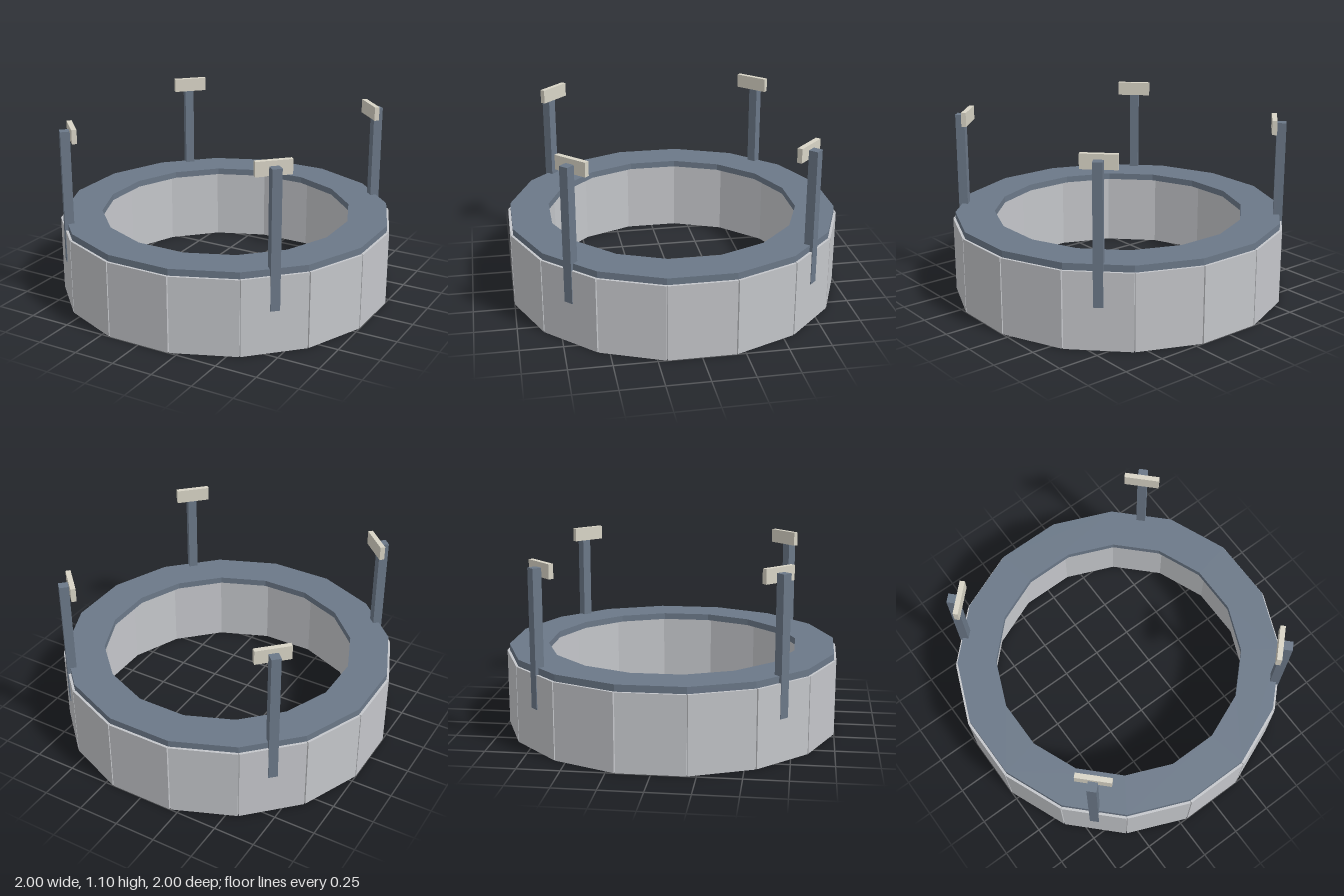
import * as THREE from 'three';

const SIDES = 16;
const STEP = (Math.PI * 2) / SIDES;

const slate = new THREE.MeshStandardMaterial({ name: 'slate metal', color: 0x6b7888 });
const grey = new THREE.MeshStandardMaterial({ name: 'pale grey panel', color: 0xc4c6ca });
const cream = new THREE.MeshStandardMaterial({ name: 'cream lamp', color: 0xd8d4c6 });

// Corner points of a regular polygon, given the distance to its flat sides
function polygon(apothem) {
  const r = apothem / Math.cos(STEP / 2);
  return Array.from({ length: SIDES }, (_, i) => {
    const a = (i + 0.5) * STEP;
    return new THREE.Vector2(r * Math.cos(a), r * Math.sin(a));
  });
}

// Flat-sided ring standing between two heights
function ring(name, outer, inner, y0, y1, material) {
  const shape = new THREE.Shape(polygon(outer));
  shape.holes.push(new THREE.Path(polygon(inner)));
  const geometry = new THREE.ExtrudeGeometry(shape, { depth: y1 - y0, bevelEnabled: false });
  geometry.rotateX(-Math.PI / 2).translate(0, y0, 0);
  const mesh = new THREE.Mesh(geometry, material);
  mesh.name = name;
  return mesh;
}

// Box set at a radius, facing outward at the given angle
function radialBox(name, w, h, d, radius, y, angle, material) {
  const mesh = new THREE.Mesh(new THREE.BoxGeometry(w, h, d), material);
  mesh.name = name;
  mesh.position.set(Math.sin(angle) * radius, y, Math.cos(angle) * radius);
  mesh.rotation.y = angle;
  return mesh;
}

export function createModel() {
  const model = new THREE.Group();
  model.name = 'ringWithPosts';

  // Wall and overhanging cap
  model.add(ring('wall', 0.985, 0.82, 0, 0.46, grey));
  model.add(ring('cap', 0.985, 0.75, 0.46, 0.5, slate));

  // Cladding panels with narrow gaps at the corners
  const panels = new THREE.Group();
  panels.name = 'outerPanels';
  for (let i = 0; i < SIDES; i++) {
    panels.add(radialBox('outerPanel', 0.39, 0.46, 0.02, 0.99, 0.23, i * STEP, grey));
  }
  model.add(panels);

  // Four posts with a lamp bar on the inner face
  for (let i = 0; i < 4; i++) {
    const angle = Math.PI / 4 + (i * Math.PI) / 2;
    const post = new THREE.Group();
    post.name = 'lampPost';
    post.add(radialBox('post', 0.056, 0.815, 0.056, 0.976, 0.6625, angle, slate));
    post.add(radialBox('lampBar', 0.21, 0.085, 0.03, 0.933, 1.0575, angle, cream));
    model.add(post);
  }
  return model;
}
